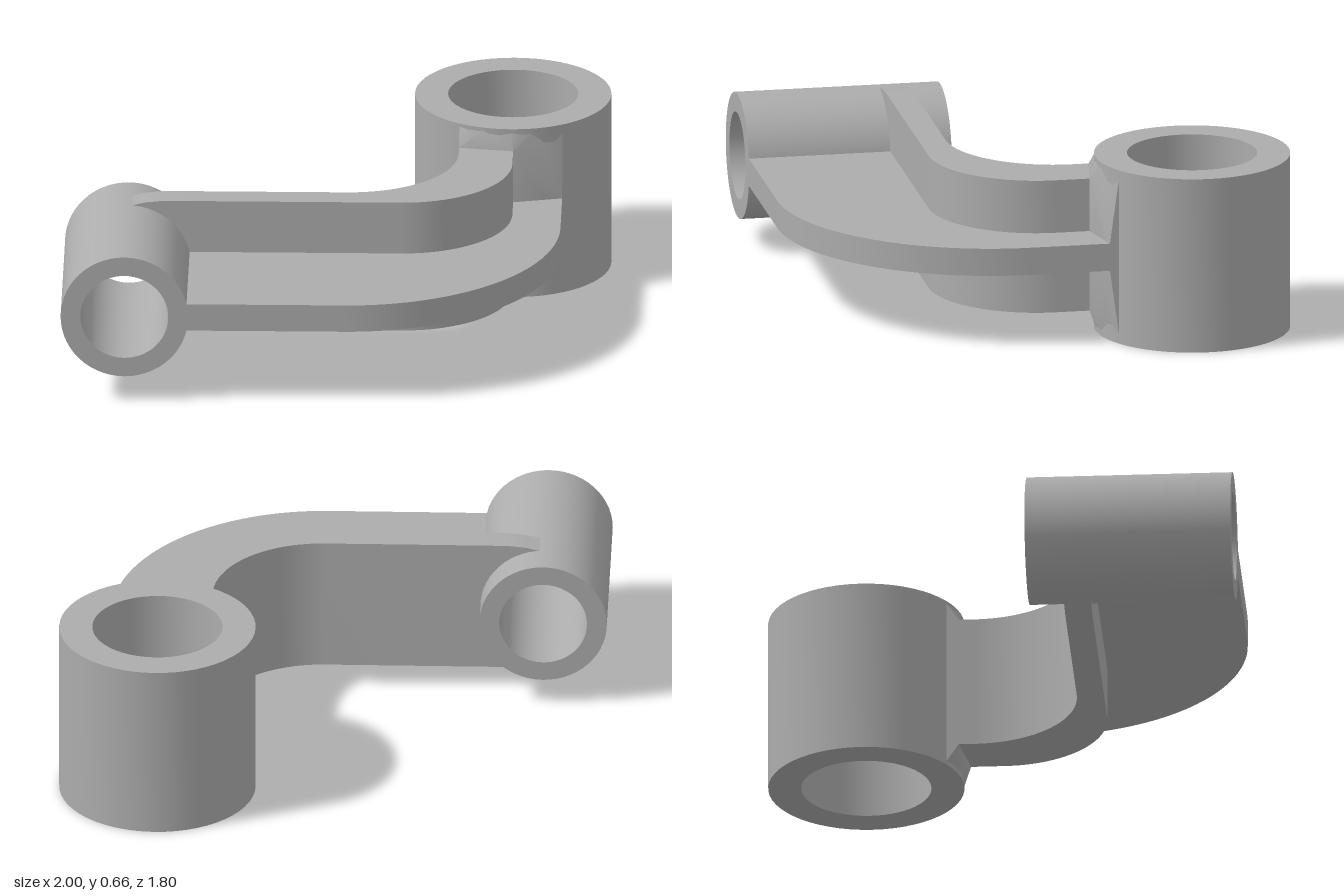
import * as THREE from 'three';
import { toCreasedNormals } from 'three/addons/utils/BufferGeometryUtils.js';
import { ConvexGeometry } from 'three/addons/geometries/ConvexGeometry.js';

const steel = new THREE.MeshStandardMaterial({ color: 0xacacac });
steel.name = 'grey steel';
const MID = 0.333; // mid height of the arm

function add(group, name, geometry) {
  const mesh = new THREE.Mesh(toCreasedNormals(geometry, 0.5), steel);
  mesh.name = name;
  group.add(mesh);
  return mesh;
}

function extrude(shape, depth) {
  return new THREE.ExtrudeGeometry(shape, { depth, bevelEnabled: false, curveSegments: 28 });
}

// Extrude a plan outline (x, -z) upwards between two heights
function plan(shape, y0, y1) {
  return extrude(shape, y1 - y0).rotateX(-Math.PI / 2).translate(0, y0, 0);
}

function ring(x, y, outer, inner) {
  const shape = new THREE.Shape().absarc(x, y, outer, 0, Math.PI * 2, false);
  shape.holes.push(new THREE.Path().absarc(x, y, inner, 0, Math.PI * 2, true));
  return shape;
}

export function createModel() {
  const group = new THREE.Group();
  group.name = 'bracketArm';
  const q = Math.PI / 2;

  // Bushing sleeves
  add(group, 'uprightSleeve', plan(ring(0.637, 0.543, 0.362, 0.24), 0, 0.664));
  add(group, 'frontSleeve', extrude(ring(-0.765, MID, 0.235, 0.162), 0.76).translate(0, 0, 0.14));

  // Tall curved wall
  const wall = new THREE.Shape();
  wall.moveTo(-0.5, -0.37).lineTo(0.24, -0.37);
  wall.absellipse(0.24, 0.03, 0.405, 0.4, -q, 0, false);
  wall.lineTo(0.645, 0.25).lineTo(0.445, 0.25).lineTo(0.445, 0.13);
  wall.absellipse(0.04, 0.13, 0.405, 0.4, 0, -q, true);
  wall.lineTo(-0.5, -0.27);
  add(group, 'wall', plan(wall, 0.08, 0.586));

  // Flat web along the outside of the bend
  const web = new THREE.Shape();
  web.moveTo(-0.55, -0.9).lineTo(0.04, -0.9);
  web.absellipse(0.04, -0.1, 0.785, 0.8, -q, 0, false);
  web.lineTo(0.825, 0.28).lineTo(0.6, 0.28).lineTo(0.6, 0.03);
  web.absellipse(0.24, 0.03, 0.36, 0.36, 0, -q, true);
  web.lineTo(-0.55, -0.33);
  add(group, 'web', plan(web, 0.281, 0.385));

  // Wall end wrapping round the front sleeve
  const collar = new THREE.Shape();
  collar.moveTo(-0.5, 0.08).lineTo(-0.5, 0.586).lineTo(-0.63, 0.586).lineTo(-0.7, 0.579);
  collar.lineTo(-0.765, MID + 0.23);
  collar.absarc(-0.765, MID, 0.23, q, 3 * q, false);
  collar.lineTo(-0.7, 0.087).lineTo(-0.63, 0.08);
  collar.holes.push(new THREE.Path().absarc(-0.765, MID, 0.165, 0, Math.PI * 2, true));
  add(group, 'collar', extrude(collar, 0.1).translate(0, 0, 0.27));

  // Flared joint between the arm and the upright sleeve
  const flare = [];
  for (const x of [0.445, 0.54, 0.637, 0.73, 0.825]) {
    const z = -0.543 + Math.sqrt(0.358 ** 2 - (x - 0.637) ** 2);
    for (const y of [0.005, 0.659]) flare.push(new THREE.Vector3(x, y, z));
  }
  for (const y of [0.08, 0.586]) {
    flare.push(new THREE.Vector3(0.445, y, -0.19), new THREE.Vector3(0.645, y, -0.157));
  }
  for (const y of [0.281, 0.385]) flare.push(new THREE.Vector3(0.825, y, -0.2));
  add(group, 'flaredJoint', new ConvexGeometry(flare));

  return group;
}
